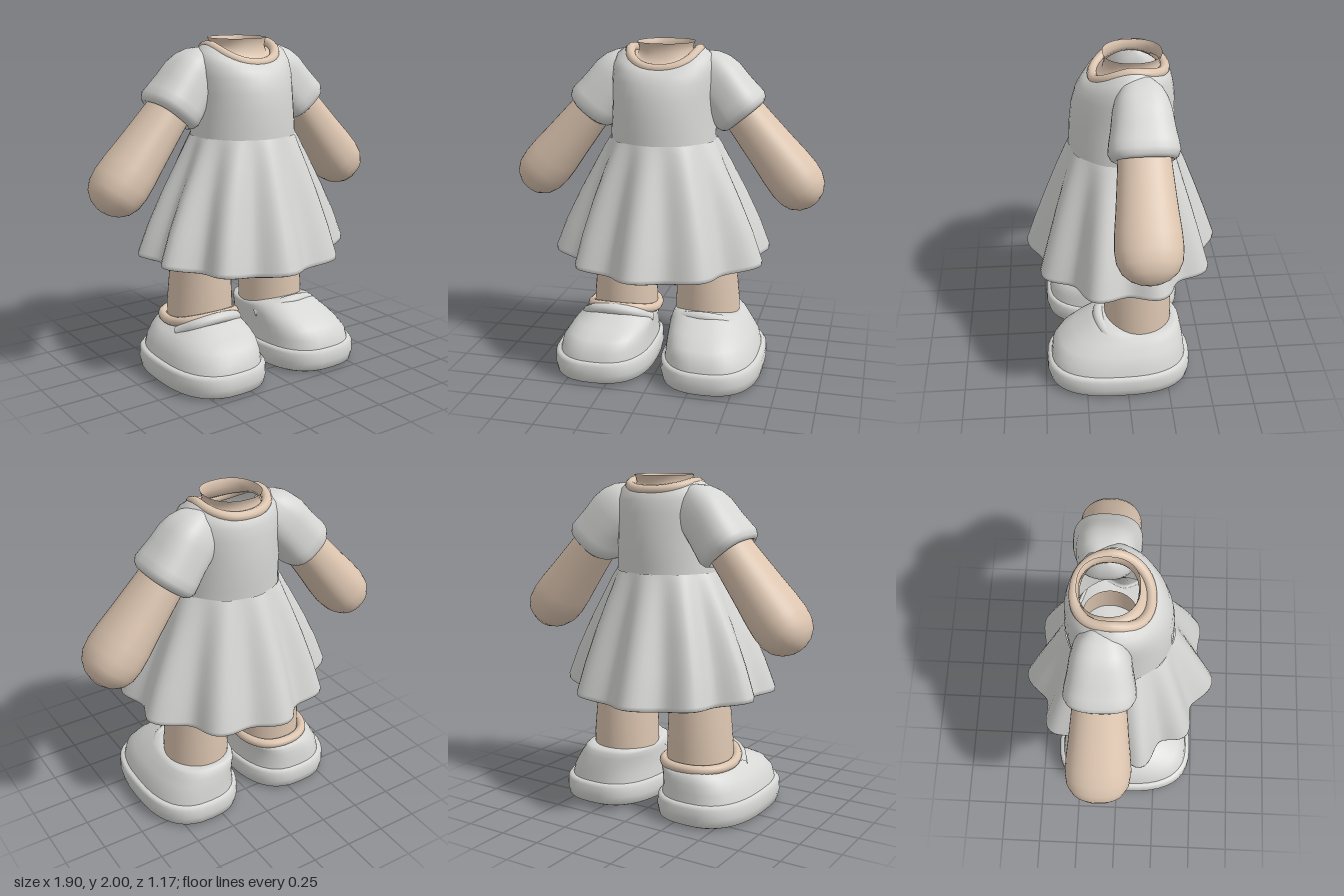
import * as THREE from 'three';

const cloth = new THREE.MeshStandardMaterial({ color: 0xd6d6d4, side: THREE.DoubleSide });
cloth.name = 'light grey cloth';
const skin = new THREE.MeshStandardMaterial({ color: 0xdcc5b0, side: THREE.DoubleSide });
skin.name = 'pale tan skin';

// Smooth closed skin through rows of rings, listed from bottom to top
function loft(rows, point, segments = 40) {
  const pos = [], idx = [];
  rows.forEach((row, j) => {
    for (let i = 0; i < segments; i++) {
      pos.push(...point(row, (i / segments) * Math.PI * 2));
      if (j === rows.length - 1) continue;
      const a = j * segments + i, c = j * segments + ((i + 1) % segments);
      idx.push(a, a + segments, c, a + segments, c + segments, c);
    }
  });
  const g = new THREE.BufferGeometry();
  g.setAttribute('position', new THREE.Float32BufferAttribute(pos, 3));
  g.setIndex(idx);
  g.computeVertexNormals();
  return g;
}

const power = (v, e) => Math.sign(v) * Math.abs(v) ** e;

// Oval ring: row = [y, half width, front z, back z, front dip, centre x, back dip]
const oval = (side = 1, e = 1) => ([y, w, zf, zb, dip = 0, cx = 0, backDip = 0], t) => {
  const c = power(Math.cos(t), e), s = power(Math.sin(t), e);
  const drop = (s > 0 ? dip : backDip) * Math.abs(s) ** 1.5;
  return [side * cx + w * c, y - drop, (zf + zb) / 2 + ((zf - zb) / 2) * s];
};

// Ring around a limb axis: row = [y, radius, depth ratio]
const limb = (e) => ([y, r, k = 1.18], t) =>
  [r * power(Math.cos(t), e), y, k * r * power(Math.sin(t), e)];

function tube(points, radius, closed) {
  const curve = new THREE.CatmullRomCurve3(points.map((p) => new THREE.Vector3(...p)), closed);
  return new THREE.TubeGeometry(curve, 48, radius, 10, closed);
}

function loopPoints(row, point, n = 16) {
  return Array.from({ length: n }, (_, i) => point(row, (i / n) * Math.PI * 2));
}

export function createModel() {
  const model = new THREE.Group();
  const add = (name, geometry, material, parent = model) => {
    const m = new THREE.Mesh(geometry, material);
    m.name = name;
    parent.add(m);
  };

  // Skirt: row = [y, half width, half depth, fold depth, hem weight]
  const fold = ([y, rx, rz, amp, hem], t) => {
    const wave = Math.cos(10 * (t - Math.PI / 2) - Math.sin(t));
    const k = 1 + amp * wave - 0.045 * hem * Math.sin(2 * t) ** 2;
    const lift = 0.008 * (1 + wave) + 0.035 * Math.cos(t) ** 4;
    return [rx * k * Math.cos(t), y + hem * lift, rz * k * Math.sin(t)];
  };
  add('skirt', loft([
    [0.688, 0.607, 0.53, 0.075, 1],
    [0.695, 0.624, 0.546, 0.075, 1],
    [0.72, 0.625, 0.547, 0.075, 1],
    [0.9, 0.564, 0.492, 0.07, 0.7],
    [1.1, 0.482, 0.428, 0.06, 0.3],
    [1.28, 0.4, 0.368, 0.045, 0],
    [1.4, 0.343, 0.325, 0.025, 0],
    [1.445, 0.318, 0.308, 0.01, 0],
  ], fold, 120), cloth);
  add('skirtUnderside', loft([
    [0.725, 0, 0, 0, 0],
    [0.725, 0.2, 0.18, 0, 0],
    [0.715, 0.42, 0.38, 0.04, 0.5],
    [0.69, 0.608, 0.532, 0.075, 1],
  ], fold, 120), cloth);

  // Bodice with a neckline that dips at the front and, less, at the back
  add('bodice', loft([
    [1.43, 0.316, 0.306, -0.302],
    [1.5, 0.312, 0.305, -0.305],
    [1.6, 0.305, 0.3, -0.31],
    [1.7, 0.303, 0.287, -0.305],
    [1.8, 0.308, 0.262, -0.298, 0.02, 0, 0.01],
    [1.88, 0.303, 0.235, -0.285, 0.06, 0, 0.025],
    [1.935, 0.28, 0.212, -0.27, 0.085, 0, 0.04],
    [1.968, 0.235, 0.183, -0.252, 0.105, 0, 0.05],
  ], oval()), cloth);
  const neckline = [1.96, 0.203, 0.163, -0.24, 0.097, 0, 0.045];
  const neckOval = oval(1, 0.88);
  add('collar', tube(loopPoints(neckline, neckOval, 24), 0.029, true), skin);
  add('neck', loft([
    neckline,
    [1.935, 0.165, 0.11, -0.22, 0.04, 0, 0.02],
    [1.96, 0.155, 0.095, -0.215, 0.01],
    [1.985, 0.162, 0.1, -0.222],
    [2, 0.168, 0.106, -0.228],
  ], neckOval), skin);

  for (const side of [1, -1]) {
    const label = side > 0 ? 'left' : 'right';

    // Arm and sleeve share an axis that slopes down and outward
    const arm = new THREE.Group();
    arm.name = label + 'Arm';
    arm.position.set(side * 0.45, 1.6, -0.09);
    arm.rotation.z = side * 0.688;
    model.add(arm);
    add(label + 'ForearmAndHand', loft([
      [-0.702, 0], [-0.697, 0.04], [-0.675, 0.088], [-0.635, 0.128], [-0.58, 0.151],
      [-0.51, 0.158], [-0.42, 0.154], [-0.3, 0.143], [-0.1, 0.128], [0.1, 0.115],
    ], limb(0.9)), skin, arm);
    add(label + 'Sleeve', loft([
      [0.06, 0.1], [-0.028, 0.118], [-0.036, 0.134], [-0.02, 0.155], [0.012, 0.167],
      [0.06, 0.162], [0.14, 0.157, 1.12], [0.23, 0.156, 1.05], [0.3, 0.138, 1.05],
      [0.36, 0.104, 1.1], [0.41, 0.052], [0.43, 0],
    ], limb(0.75)), cloth, arm);

    // Leg
    add(label + 'Leg', loft([
      [0.2, 0.2, 0.12, -0.28, 0, 0.265], [0.42, 0.198, 0.125, -0.285, 0, 0.265],
      [0.68, 0.178, 0.12, -0.275, 0, 0.258], [1.0, 0.165, 0.1, -0.25, 0, 0.255],
    ], oval(side)), skin);

    // Shoe: a thick sole and a rounded upper whose opening sits towards the middle
    const foot = oval(side, 0.77);
    add(label + 'Sole', loft([
      [0.005, 0, 0.04, 0.04, 0, 0.335], [0.005, 0.275, 0.45, -0.36, 0, 0.335],
      [0.02, 0.302, 0.478, -0.39, 0, 0.335], [0.07, 0.312, 0.49, -0.4, 0, 0.335],
      [0.125, 0.31, 0.487, -0.397, 0, 0.335], [0.145, 0.295, 0.47, -0.38, 0, 0.335],
      [0.15, 0.24, 0.42, -0.33, 0, 0.335],
    ], foot), cloth);
    const drop = side > 0 ? 0 : 0.03;
    add(label + 'ShoeUpper', loft([
      [0.13, 0.285, 0.462, -0.37, 0, 0.332], [0.2, 0.272, 0.45, -0.362, 0, 0.327],
      [0.255, 0.252, 0.405, -0.355, 0, 0.31], [0.3 - drop / 2, 0.235, 0.32, -0.345, -0.01, 0.293],
      [0.33 - drop, 0.22, 0.23, -0.337, -0.03, 0.28], [0.348 - drop, 0.206, 0.17, -0.322, -0.045, 0.273],
      [0.352 - drop, 0.17, 0.13, -0.29, -0.045, 0.268], [0.34 - drop, 0, -0.08, -0.08, 0, 0.265],
    ], foot), cloth);
    add(label + 'ShoeStrap', tube([
      [0.08, 0.29, 0.04], [0.15, 0.35, 0.13], [0.28, 0.375, 0.165],
      [0.41, 0.35, 0.13], [0.49, 0.29, 0.03],
    ].map(([x, y, z]) => [side * x, y, z]), 0.034, false), cloth);
  }

  // Sock edge that shows above the lower shoe
  add('sockRim', tube(
    loopPoints([0.325, 0.207, 0.135, -0.305, -0.055, 0.272], oval(-1, 0.88), 24), 0.029, true), skin);

  return model;
}
